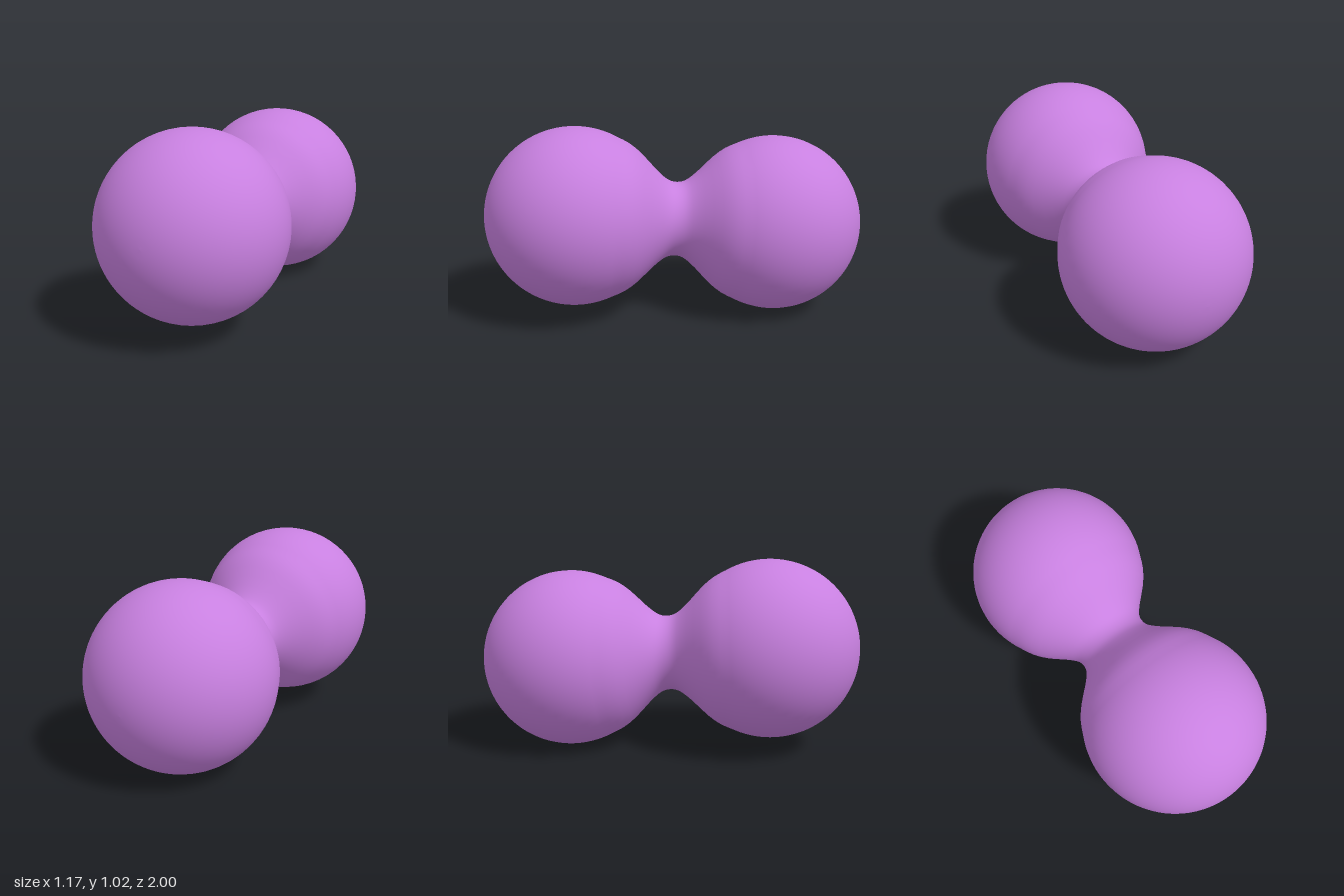
import * as THREE from 'three';

export function createModel() {
  const group = new THREE.Group();
  const radius = 0.475;
  const center = new THREE.Vector3(0.11, 0.035, 0.525); // upper lobe, from the neck middle
  const half = center.length();

  // Half profile: waist of the neck, flaring smoothly into a ball
  const knots = [[0.2, 0], [0.204, 0.03], [0.221, 0.065], [0.268, 0.12], [0.348, 0.2], [0.397, 0.265]];
  const start = Math.acos((half - 0.33) / radius);
  for (let i = 0; i <= 24; i++) {
    const a = start + (Math.PI - start) * i / 24;
    knots.push([Math.max(0, radius * Math.sin(a)), half - radius * Math.cos(a)]);
  }
  // Mirror it for the second lobe
  const mirrored = knots.slice(1).reverse().map(([r, t]) => [r, -t]);
  const points = [...mirrored, ...knots].map(([r, t]) => new THREE.Vector2(r, t));
  const profile = new THREE.SplineCurve(points).getPoints((points.length - 1) * 2);
  profile.forEach((p) => { p.x = Math.max(0, p.x); });

  // Two lobes joined by a pinched neck, laid along the tilted axis
  const body = new THREE.Mesh(
    new THREE.LatheGeometry(profile, 64),
    new THREE.MeshStandardMaterial({ color: 0xc880e0 })
  );
  body.name = 'pinchedDoubleBlob';
  body.quaternion.setFromUnitVectors(new THREE.Vector3(0, 1, 0), center.clone().normalize());
  body.position.y = 0.51;
  group.add(body);
  return group;
}
